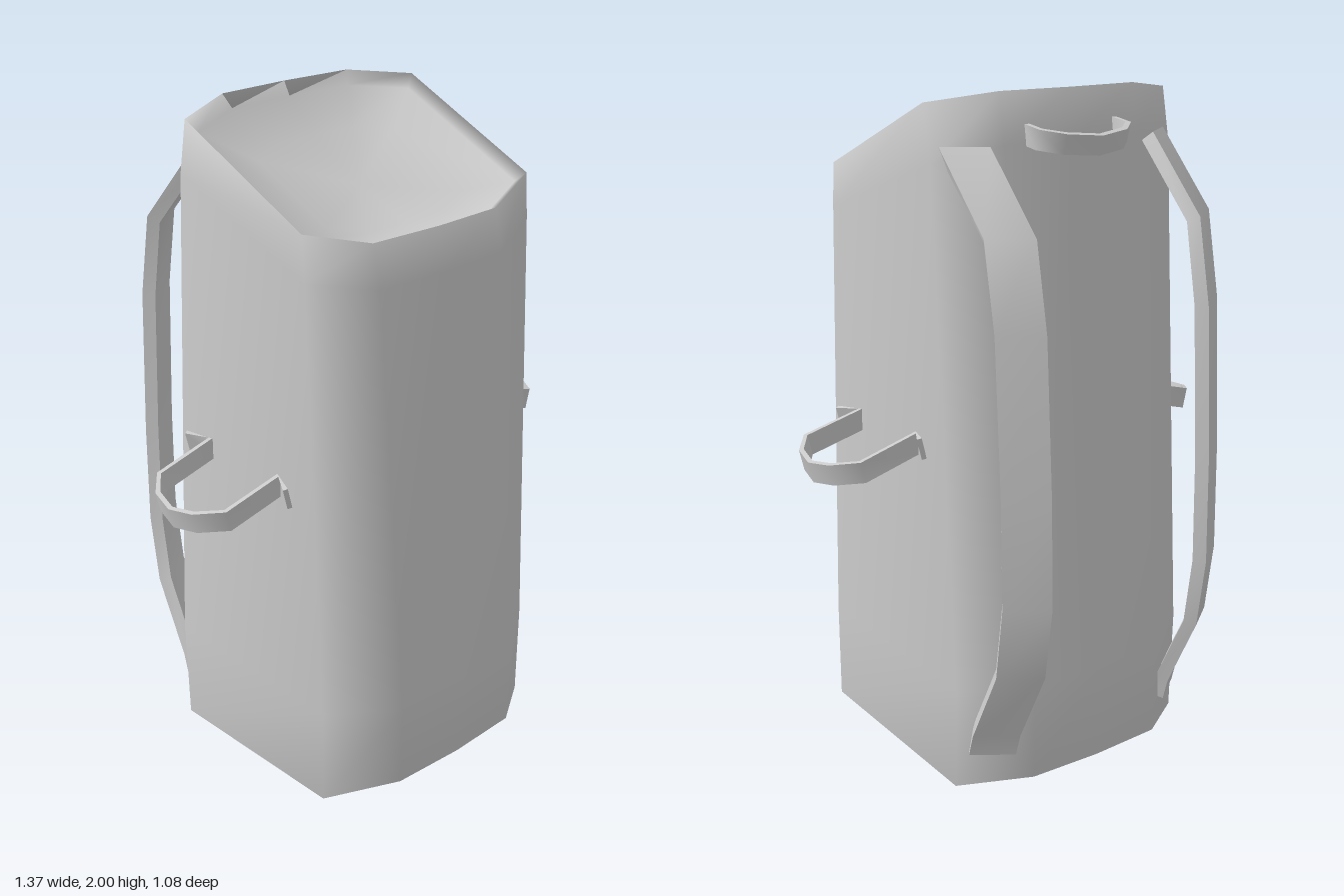
import * as THREE from 'three';
import { mergeVertices, toCreasedNormals } from 'three/addons/utils/BufferGeometryUtils.js';

const material = new THREE.MeshStandardMaterial({ color: 0xcccccc, side: THREE.DoubleSide });

// Skins a list of closed rings (arrays of Vector3, same length).
function loft(rings, cap = false) {
  const n = rings[0].length, pos = [], idx = [];
  rings.forEach(r => r.forEach(p => pos.push(p.x, p.y, p.z)));
  for (let i = 0; i < rings.length - 1; i++) {
    for (let j = 0; j < n; j++) {
      const k = (j + 1) % n;
      const a = i * n + j, b = i * n + k, c = a + n, d = b + n;
      idx.push(a, b, d, a, d, c);
    }
  }
  if (cap) {
    const e = (rings.length - 1) * n;
    for (let j = 1; j < n - 1; j++) idx.push(0, j + 1, j, e, e + j, e + j + 1);
  }
  const g = new THREE.BufferGeometry();
  g.setAttribute('position', new THREE.Float32BufferAttribute(pos, 3));
  g.setIndex(idx);
  return g;
}

// Ten-sided ring from [z, y] pairs: front centre, side front, side back, back centre.
function bodyRing(front, sideF, sideB, back, w = 0.42) {
  const half = [
    [0, ...front], [0.55 * w, front[0] - 0.01, front[1]],
    [w, ...sideF], [w, ...sideB],
    [0.55 * w, back[0] + 0.01, back[1]], [0, ...back],
  ];
  const mirrored = half.slice(1, 5).reverse().map(([x, z, y]) => [-x, z, y]);
  return [...half, ...mirrored].map(([x, z, y]) => new THREE.Vector3(x, y, z));
}

// Shrinks a ring about its middle and shifts it vertically.
function inset(ring, s, dy) {
  const c = ring.reduce((m, p) => m.add(p), new THREE.Vector3()).divideScalar(ring.length);
  return ring.map(p => c.clone().lerp(p, s).add(new THREE.Vector3(0, dy, 0)));
}

// Flat band of rectangular section along a path; `wide` is its width vector.
function band(points, wide, thickness) {
  const path = points.map(p => new THREE.Vector3(...p));
  const w = new THREE.Vector3(...wide).multiplyScalar(0.5);
  const rings = path.map((p, i) => {
    const before = path[Math.max(i - 1, 0)], after = path[Math.min(i + 1, path.length - 1)];
    const dir = after.clone().sub(before).normalize();
    const t = dir.cross(w).normalize().multiplyScalar(thickness / 2);
    return [[1, 1], [-1, 1], [-1, -1], [1, -1]].map(([a, b]) =>
      p.clone().addScaledVector(w, a).addScaledVector(t, b));
  });
  return toCreasedNormals(loft(rings, true), 0.9);
}

function addMesh(group, name, geometry) {
  const mesh = new THREE.Mesh(geometry, material);
  mesh.name = name;
  group.add(mesh);
}

export function createModel() {
  const model = new THREE.Group();
  model.name = 'backpack';

  // Body: slanted base, tapering walls, sloping rim and a sunken top
  const base = bodyRing([0.54, 0.09], [0.4, 0.05], [-0.25, 0.015], [-0.39, 0.04]);
  const rim = bodyRing([0.4, 1.72], [0.33, 1.77], [-0.14, 1.975], [-0.23, 2]);
  const body = mergeVertices(loft([
    inset(base, 0, -0.015), inset(base, 0.92, -0.02), base,
    bodyRing([0.545, 0.35], [0.4, 0.35], [-0.26, 0.33], [-0.395, 0.33]),
    bodyRing([0.43, 1.6], [0.34, 1.64], [-0.17, 1.82], [-0.25, 1.86]),
    rim, inset(rim, 0.93, -0.03), inset(rim, 0.6, -0.08), inset(rim, 0, -0.1),
  ]));
  body.computeVertexNormals();
  addMesh(model, 'body', body);

  // Shoulder straps: tilted bands bowing out behind the back
  const strapPath = [
    [1.85, -0.2], [1.64, -0.4], [1.4, -0.445], [0.95, -0.47],
    [0.64, -0.475], [0.43, -0.445], [0.2, -0.33], [0.13, -0.31],
  ];
  for (const [side, label] of [[1, 'left'], [-1, 'right']]) {
    addMesh(model, label + 'ShoulderStrap',
      band(strapPath.map(([y, z]) => [side * 0.33, y, z]), [side * 0.11, 0, 0.08], 0.04));

    // Side handles: drooping loops with flared end tabs
    const loop = [
      [0.45, 1.035, -0.15], [0.415, 1.03, -0.08], [0.6, 0.98, -0.08], [0.655, 0.965, -0.01], [0.672, 0.955, 0.07],
      [0.655, 0.965, 0.15], [0.6, 0.98, 0.222], [0.415, 1.025, 0.222], [0.45, 1.02, 0.295],
    ];
    addMesh(model, label + 'SideHandle',
      band(loop.map(([x, y, z]) => [side * x, y, z]), [side * 0.015, 0.062, 0], 0.014));
  }

  // Carry handle at the top of the back
  const carry = [[0.152, 1.885, -0.22], [0.152, 1.875, -0.29], [0.1, 1.865, -0.335], [0, 1.857, -0.357]];
  const carryPath = [...carry, ...carry.slice(0, 3).reverse().map(([x, y, z]) => [-x, y, z])];
  addMesh(model, 'carryHandle', band(carryPath, [0, 0.055, -0.015], 0.016));

  return model;
}
